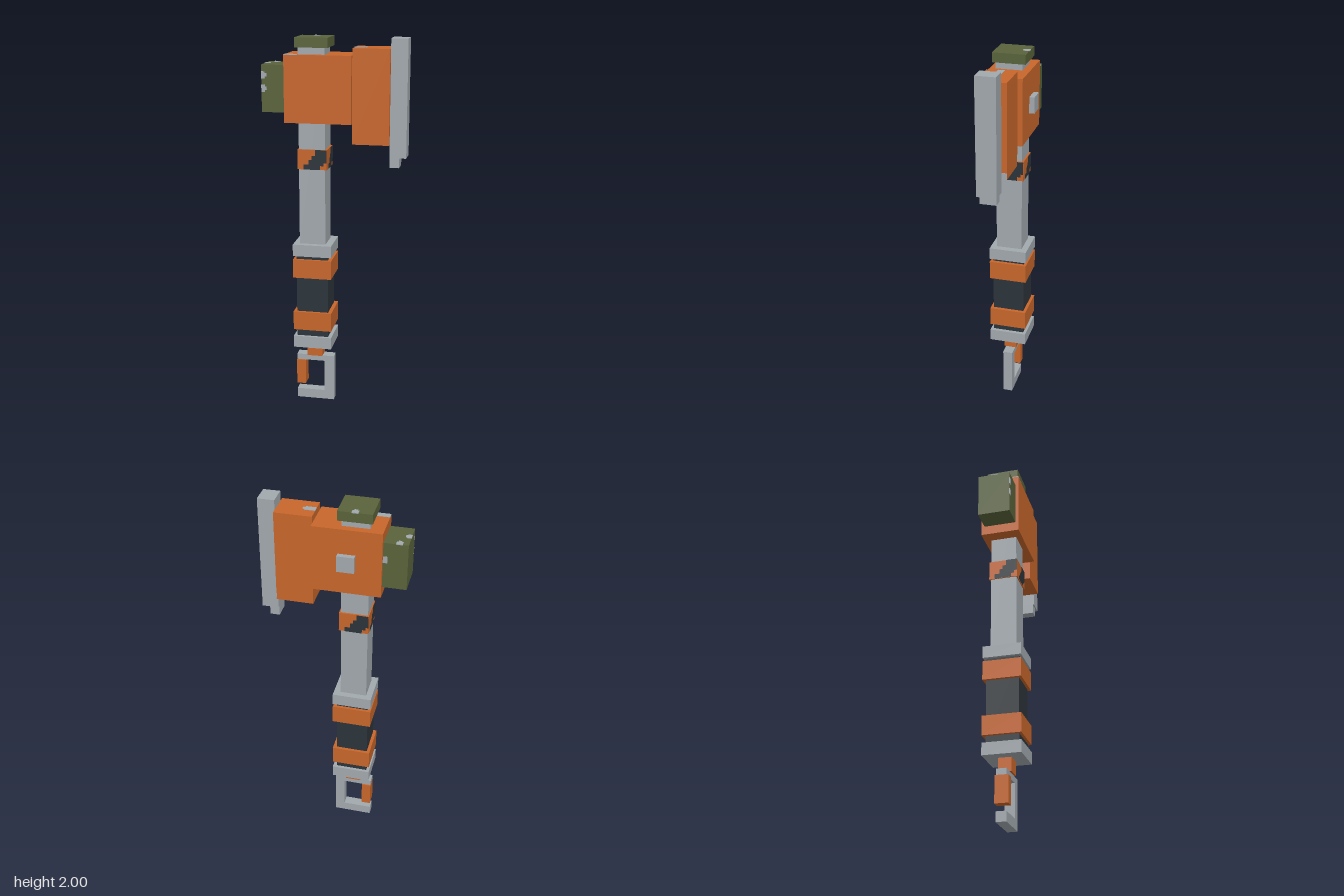
import * as THREE from 'three';

function mat(name, color) {
  const m = new THREE.MeshStandardMaterial({ color });
  m.name = name;
  return m;
}

export function createModel() {
  const orange = mat('orange', 0xc8662b);
  const green = mat('olive green', 0x59633a);
  const grey = mat('steel grey', 0xa2a9ae);
  const dark = mat('dark grip', 0x2c343a);
  const root = new THREE.Group();
  root.name = 'hammer';

  // Box from its limits on each axis
  function box(name, m, [x0, x1], [y0, y1], [z0, z1]) {
    const mesh = new THREE.Mesh(new THREE.BoxGeometry(x1 - x0, y1 - y0, z1 - z0), m);
    mesh.position.set((x0 + x1) / 2, (y0 + y1) / 2, (z0 + z1) / 2);
    mesh.name = name;
    root.add(mesh);
    return mesh;
  }

  // Shaft and cap
  box('shaft', grey, [-0.185, -0.046], [0.9, 1.96], [-0.055, 0.084]);
  box('cap', green, [-0.2, -0.028], [1.95, 2], [-0.075, 0.098]);

  // Head, from the rear weight to the striking plate
  box('rearWeight', green, [-0.374, -0.253], [1.62, 1.862], [-0.075, 0.098]);
  box('headBlock', orange, [-0.253, 0.095], [1.57, 1.915], [-0.093, 0.115]);
  box('frontBlock', orange, [0.095, 0.286], [1.465, 1.95], [-0.067, 0.089]);
  box('strikingPlate', grey, [0.286, 0.372], [1.397, 2], [-0.04, 0.064]);
  box('plateStub', grey, [0.286, 0.336], [1.345, 1.397], [-0.028, 0.058]);
  box('backButton', grey, [-0.123, -0.036], [1.7, 1.785], [-0.12, -0.093]);

  // Grip with collars and rings
  const ringX = [-0.217, -0.01], ringZ = [-0.088, 0.115];
  box('grip', dark, [-0.2, -0.03], [0.4, 0.856], [-0.072, 0.1]);
  box('upperCollar', grey, ringX, [0.856, 0.92], ringZ);
  box('lowerCollar', grey, ringX, [0.335, 0.4], ringZ);
  box('upperRing', orange, ringX, [0.735, 0.837], ringZ);
  box('lowerRing', orange, ringX, [0.438, 0.541], ringZ);

  // Hook with its gate
  box('hookNeck', orange, [-0.158, -0.073], [0.262, 0.335], [-0.02, 0.05]);
  const hookZ = [-0.013, 0.04];
  box('hookTop', grey, ringX, [0.23, 0.262], hookZ);
  box('hookSide', grey, [-0.063, -0.01], [0.052, 0.23], hookZ);
  box('hookBottom', grey, ringX, [0, 0.052], hookZ);
  box('hookGate', orange, [-0.217, -0.167], [0.09, 0.23], [-0.02, 0.05]);

  // Warning band: one stepped diagonal stripe on each side
  const w = 0.154, h = 0.105;
  const band = new THREE.Group();
  band.name = 'warningBand';
  band.position.set(-0.1135, 1.3775, 0.0125);
  band.add(new THREE.Mesh(new THREE.BoxGeometry(w, h, w), orange));
  const stripe = new THREE.Shape([
    [0.2, 0], [0.78, 0], [0.78, 0.2], [0.9, 0.2], [0.9, 0.35], [1, 0.35], [1, 1],
    [0.6, 1], [0.6, 0.7], [0.48, 0.7], [0.48, 0.5], [0.38, 0.5], [0.38, 0.25], [0.2, 0.25],
  ].map(([u, v]) => new THREE.Vector2((u - 0.5) * w, (v - 0.5) * h)));
  for (let i = 0; i < 4; i++) {
    const side = new THREE.Group();
    side.rotation.y = i * Math.PI / 2;
    const plate = new THREE.Mesh(new THREE.ShapeGeometry(stripe), dark);
    plate.name = 'bandStripe';
    plate.position.z = w / 2 + 0.002;
    side.add(plate);
    band.add(side);
  }
  root.add(band);

  // Worn spots: thin stepped chips in bare metal
  const t = 0.002;
  const chip = (x, y, z) => box('wornSpot', grey, x, y, z);
  const onTop = (y, x, z) => chip(x, [y - t, y + t], z);
  onTop(1.862, [-0.345, -0.313], [-0.0755, -0.05]);
  onTop(1.862, [-0.337, -0.321], [-0.05, -0.04]);
  onTop(1.862, [-0.3745, -0.353], [-0.005, 0.03]);
  onTop(1.862, [-0.353, -0.345], [0.003, 0.021]);
  onTop(2 - t, [-0.131, -0.097], [-0.0755, -0.05]);
  onTop(2 - t, [-0.123, -0.105], [-0.05, -0.04]);
  onTop(1.915, [-0.253, -0.183], [0.081, 0.115]);
  onTop(1.95, [0.095, 0.15], [-0.005, 0.03]);
  onTop(1.95, [0.15, 0.16], [0.003, 0.021]);
  for (const y of [1.81, 1.742]) {
    chip([-0.3745, -0.355], [y - 0.018, y + 0.018], [0.098 - t, 0.098 + t]);
    chip([-0.355, -0.346], [y - 0.009, y + 0.009], [0.098 - t, 0.098 + t]);
  }
  chip([-0.275, -0.253], [1.755, 1.79], [-0.075 - t, -0.075 + t]);
  chip([0.286 - t, 0.286 + t], [1.465, 1.5], [-0.067, -0.035]);

  // The cap chips sit just proud of the cap's top
  root.children.filter((c) => c.name === 'wornSpot' && c.position.y > 1.99)
    .forEach((c) => { c.position.y += t / 2; });

  return root;
}
